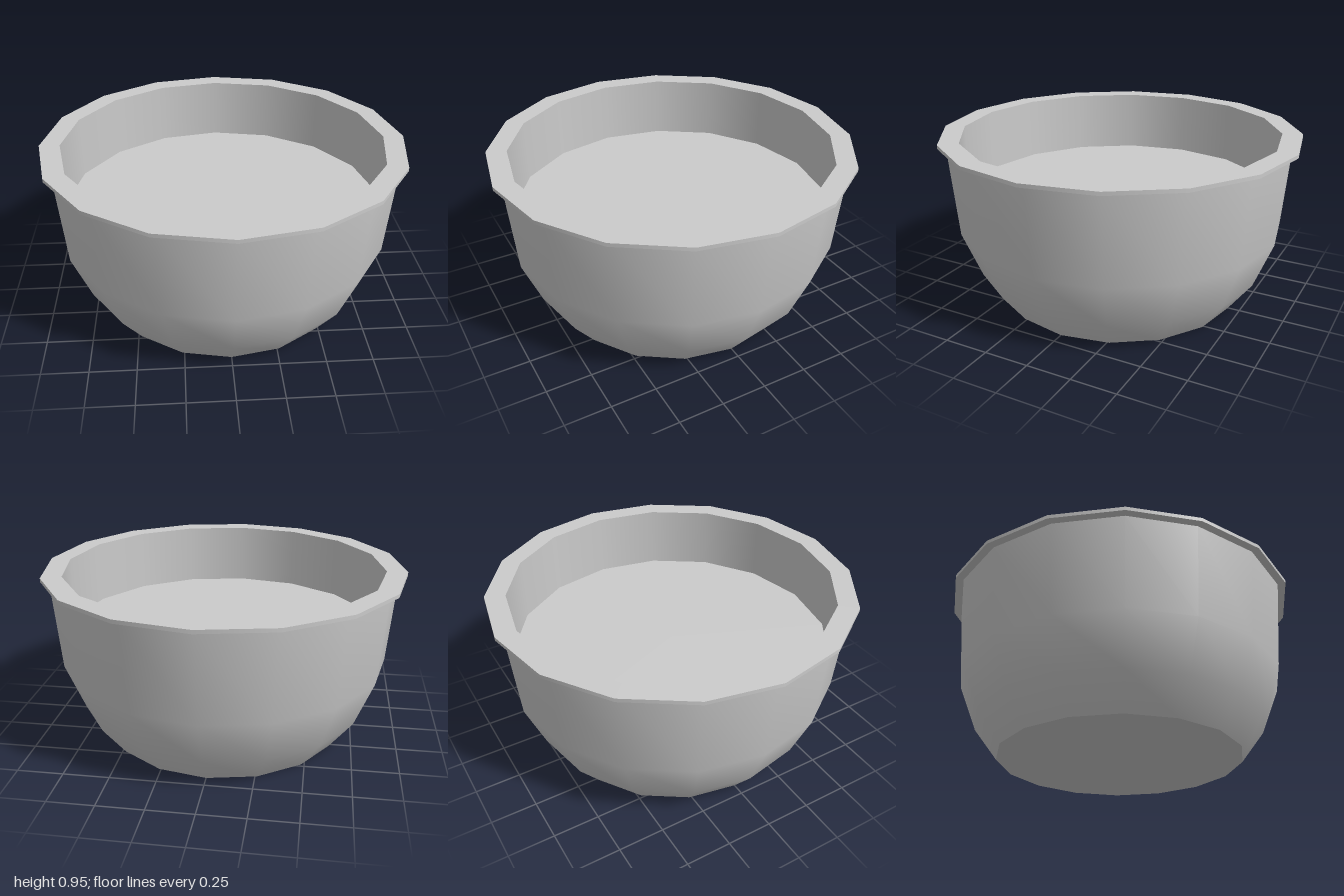
import * as THREE from 'three';

const SIDES = 16;

export function createModel() {
  const group = new THREE.Group();
  group.name = 'bowl';
  const material = new THREE.MeshStandardMaterial({ color: 0xcccccc });

  // Each strip is a [radius, height] profile turned about y; strips meet at sharp edges
  const addStrip = (name, profile) => {
    const points = profile.map(([r, y]) => new THREE.Vector2(r, y));
    const mesh = new THREE.Mesh(new THREE.LatheGeometry(points, SIDES), material);
    mesh.name = name;
    group.add(mesh);
  };

  // Outside, from the base up to the rim
  addStrip('base', [[0, 0], [0.683, 0]]);
  addStrip('outerWall', [[0.683, 0], [0.813, 0.173], [0.916, 0.434], [0.956, 0.93]]);

  // Thin overhanging lip
  addStrip('rimUnderside', [[0.956, 0.93], [1, 0.93]]);
  addStrip('rimEdge', [[1, 0.93], [1, 0.95]]);
  addStrip('rimTop', [[1, 0.95], [0.888, 0.95]]);

  // Inside: straight wall down to the flat fill surface
  addStrip('innerWall', [[0.888, 0.95], [0.888, 0.597]]);
  addStrip('innerFloor', [[0.888, 0.597], [0, 0.597]]);

  return group;
}
